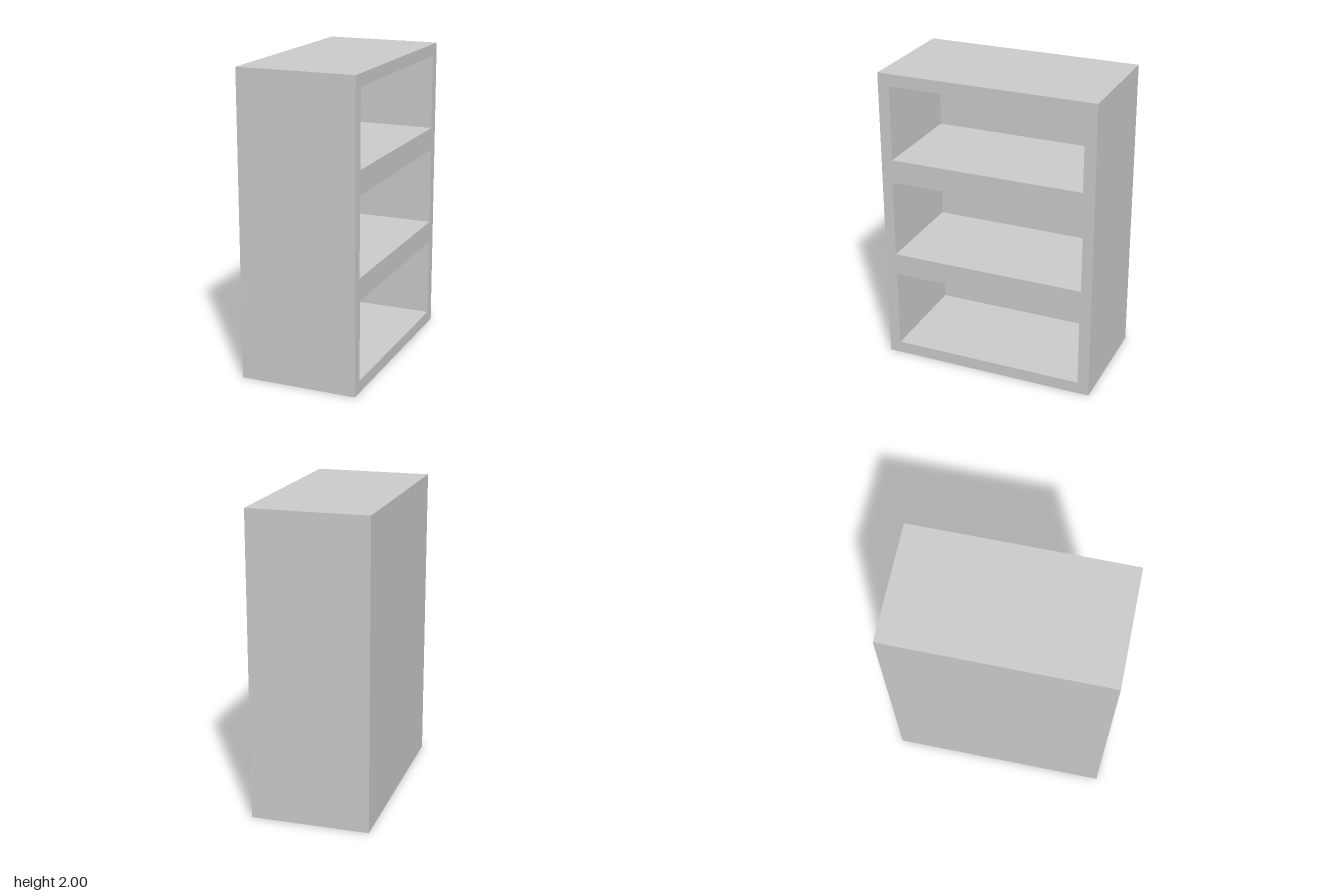
import * as THREE from 'three';

const HALF_X = 0.387, HALF_Z = 0.72, HEIGHT = 2, BACK = 0.07;

// Compartments: bottom, top, half width
const openings = [
  [0.08, 0.605, 0.643],
  [0.752, 1.27, 0.649],
  [1.425, 1.92, 0.643],
];

function rectangle(path, halfWidth, bottom, top) {
  path.moveTo(-halfWidth, bottom);
  path.lineTo(halfWidth, bottom);
  path.lineTo(halfWidth, top);
  path.lineTo(-halfWidth, top);
  path.closePath();
  return path;
}

export function createModel() {
  const group = new THREE.Group();
  group.name = 'bookcase';
  const material = new THREE.MeshStandardMaterial({ color: 0xcccccc, flatShading: true });

  // Frame with sides, top, base and thick shelves, open towards +x
  const outline = rectangle(new THREE.Shape(), HALF_Z, 0, HEIGHT);
  for (const [bottom, top, half] of openings) {
    outline.holes.push(rectangle(new THREE.Path(), half, bottom, top));
  }
  const frameGeometry = new THREE.ExtrudeGeometry(outline, {
    depth: HALF_X * 2 - BACK,
    bevelEnabled: false,
  });
  frameGeometry.rotateY(Math.PI / 2);
  const frame = new THREE.Mesh(frameGeometry, material);
  frame.name = 'shelfFrame';
  frame.position.x = -HALF_X + BACK;
  group.add(frame);

  // Back panel closing the compartments
  const back = new THREE.Mesh(new THREE.BoxGeometry(BACK, HEIGHT, HALF_Z * 2), material);
  back.name = 'backPanel';
  back.position.set(-HALF_X + BACK / 2, HEIGHT / 2, 0);
  group.add(back);

  return group;
}
